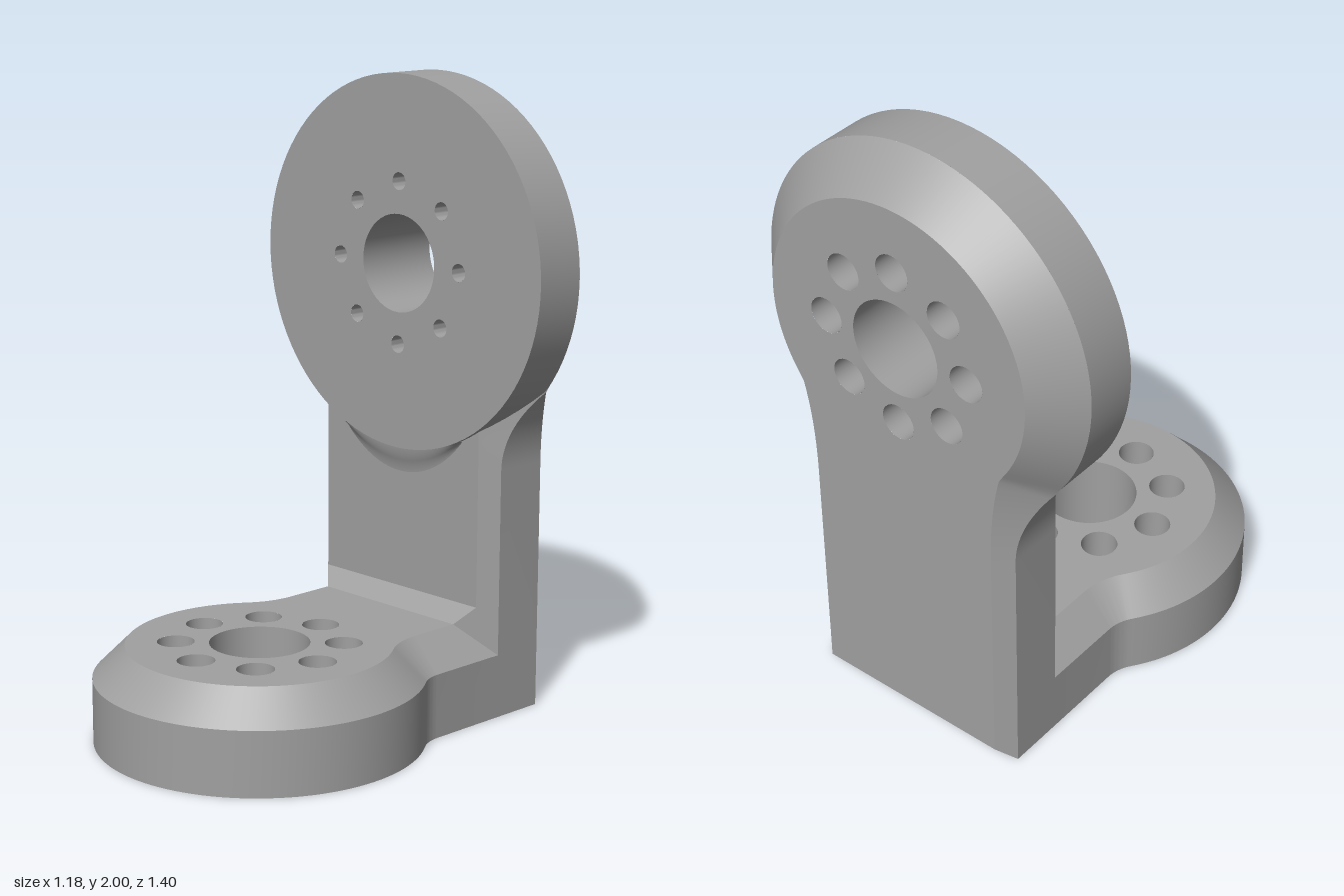
import * as THREE from 'three';
import { toCreasedNormals } from 'three/addons/utils/BufferGeometryUtils.js';

const grey = new THREE.MeshStandardMaterial({ color: 0xa0a0a0 });
const greyDouble = new THREE.MeshStandardMaterial({ color: 0xa0a0a0, side: THREE.DoubleSide });

const BORE = 0.155, RING = 0.257, BOLT = 0.028, HEAD = 0.058;

// Keyhole outline around a disc centre, neck pointing to -y, joined by concave fillets.
// Each point carries its inset, which runs from insetNeck to insetDisc along the fillet.
function keyhole({ R, w, r, dy, end }, insetNeck, insetDisc, endInset = 0) {
  const half = [[w - insetNeck, end + endInset, insetNeck]];
  const stop = Math.PI - Math.atan2(dy, w + r);
  for (let i = 0; i <= 14; i++) {
    const t = i / 14, a = Math.PI + (stop - Math.PI) * t;
    const inset = insetNeck + (insetDisc - insetNeck) * t * t;
    half.push([w + r + (r + inset) * Math.cos(a), -dy + (r + inset) * Math.sin(a), inset]);
  }
  const a0 = -Math.atan2(dy, w + r);
  for (let i = 1; i <= 40; i++) {
    const a = a0 + (Math.PI / 2 - a0) * i / 40;
    half.push([(R - insetDisc) * Math.cos(a), (R - insetDisc) * Math.sin(a), insetDisc]);
  }
  const mirrored = half.slice(0, -1).reverse().map(([x, y, d]) => [-x, y, d]);
  return [...half, ...mirrored];
}

// Wall between two closed outlines; heights may vary per point, empty quads are skipped.
function band(lower, lowerH, upper, upperH) {
  const pos = [];
  const p = (o, h, i) => new THREE.Vector3(o[i][0], o[i][1], h(o[i]));
  for (let i = 0; i < lower.length; i++) {
    const j = (i + 1) % lower.length;
    const a = p(lower, lowerH, i), b = p(lower, lowerH, j);
    const c = p(upper, upperH, j), d = p(upper, upperH, i);
    if (b.distanceTo(c) > 1e-6) pos.push(...a, ...b, ...c);
    if (a.distanceTo(d) > 1e-6) pos.push(...a, ...c, ...d);
  }
  const g = new THREE.BufferGeometry();
  g.setAttribute('position', new THREE.Float32BufferAttribute(pos, 3));
  return toCreasedNormals(g, 0.5);
}

// Flat face with optional bore and bolt holes, facing +z or -z.
function cap(outline, h, up, boltRadius) {
  const shape = new THREE.Shape(outline.map(([x, y]) => new THREE.Vector2(x, y)));
  const hole = (x, y, r) => shape.holes.push(new THREE.Path().absarc(x, y, r, 0, Math.PI * 2, true));
  if (boltRadius) {
    hole(0, 0, BORE);
    for (let i = 0; i < 8; i++) {
      const a = i * Math.PI / 4;
      hole(RING * Math.cos(a), RING * Math.sin(a), boltRadius);
    }
  }
  const g = new THREE.ShapeGeometry(shape, 24);
  if (!up) {
    const index = g.index.array;
    for (let i = 0; i < index.length; i += 3) [index[i], index[i + 1]] = [index[i + 1], index[i]];
    g.computeVertexNormals();
  }
  return g.translate(0, 0, h);
}

// Turned surface about the local z axis.
function turned(points, segments = 32, start = 0, length = Math.PI * 2) {
  const profile = points.map(([r, h]) => new THREE.Vector2(r, h));
  return new THREE.LatheGeometry(profile, segments, start, length).rotateX(Math.PI / 2);
}

function add(group, name, geometry, material = grey) {
  const mesh = new THREE.Mesh(geometry, material);
  mesh.name = name;
  group.add(mesh);
  return mesh;
}

// Central bore and eight counterbored bolt holes.
function addHoles(group, low, seat, high) {
  add(group, 'centreBore', turned([[BORE, low], [BORE, high]], 48), greyDouble);
  const bolt = toCreasedNormals(turned([[BOLT, low], [BOLT, seat], [HEAD, seat], [HEAD, high]]), 0.5);
  for (let i = 0; i < 8; i++) {
    const a = i * Math.PI / 4;
    add(group, 'boltHole', bolt, greyDouble).position.set(RING * Math.cos(a), RING * Math.sin(a), 0);
  }
}

// Horizontal flange, built with its thickness along local z.
function makeBase() {
  const base = new THREE.Group();
  base.name = 'baseFlange';
  const spec = { R: 0.512, w: 0.383, r: 0.14, dy: 0.39, end: -0.66 };
  const outer = keyhole(spec, 0, 0), inner = keyhole(spec, 0.1, 0.1);
  add(base, 'baseWall', band(outer, () => 0, outer, () => 0.205));
  add(base, 'baseChamfer', band(outer, () => 0.205, inner, () => 0.305));
  add(base, 'baseTop', cap(inner, 0.305, true, HEAD));
  add(base, 'baseUnderside', cap(outer, 0, false, BOLT));
  addHoles(base, 0, 0.12, 0.305);
  // lay flat with the neck to the back
  base.rotation.set(-Math.PI / 2, 0, Math.PI);
  base.position.z = 0.19;
  return base;
}

// Shallow blend from the arm up to the disc face, fading out at both ends.
function makeRamp() {
  const span = 0.46;
  const g = turned([[0.588, 0.40], [0.61, 0.403], [0.63, 0.41], [0.65, 0.417], [0.67, 0.42]], 24, -span, 2 * span);
  const pos = g.attributes.position;
  for (let i = 0; i < pos.count; i++) {
    const x = pos.getX(i), y = pos.getY(i), r = Math.hypot(x, y);
    const fade = Math.cos(Math.atan2(x, -y) / span * 1.5);
    const k = (0.588 + (r - 0.588) * fade) / r;
    pos.setXY(i, x * k, y * k);
  }
  g.computeVertexNormals();
  return g;
}

// Upright arm with the large mounting disc, local z running to the back.
function makeUpright() {
  const upright = new THREE.Group();
  upright.name = 'upright';
  const spec = { R: 0.59, w: 0.383, r: 0.4, dy: 0.61, end: -1.41 };
  const BACK = 0.702, FRONT = 0.42, RIM = 0.575;
  const outer = keyhole(spec, 0, 0);
  const front = keyhole(spec, 0.05, RIM - FRONT);
  const back = keyhole(spec, 0.05, BACK - RIM, 0.05);
  const frontEdge = outer.map(([x, y], i) => [x, y, front[i][2]]);
  const backEdge = outer.map(([x, y], i) => [x, y, back[i][2]]);
  const frontH = p => FRONT + p[2], backH = p => BACK - p[2];

  add(upright, 'armFrontChamfer', band(front, () => FRONT, frontEdge, frontH));
  add(upright, 'armSides', band(frontEdge, frontH, backEdge, backH));
  add(upright, 'backChamfer', band(backEdge, backH, back, () => BACK));
  add(upright, 'backFace', cap(back, BACK, true, HEAD));
  add(upright, 'armFront', cap(front.filter(p => p[1] < -0.36), FRONT, false));

  // disc rim and front face
  const circle = [];
  for (let i = 0; i < 96; i++) {
    const a = i * Math.PI / 48;
    circle.push([0.59 * Math.cos(a), 0.59 * Math.sin(a)]);
  }
  add(upright, 'discRim', band(circle, () => 0.40, circle, () => RIM));
  add(upright, 'discFace', cap(circle, 0.40, false, BOLT));
  add(upright, 'discRamp', makeRamp(), greyDouble);
  addHoles(upright, 0.40, 0.53, BACK);

  upright.rotation.y = Math.PI;
  upright.position.y = 1.41;
  return upright;
}

// Sloped strip in the inner corner, with its mitred ends.
function makeCornerStrip() {
  const L = [-0.283, 0.305, -0.37], R = [0.283, 0.305, -0.37];
  const TL = [-0.333, 0.36, -0.42], TR = [0.333, 0.36, -0.42];
  const EL = [-0.383, 0.205, -0.47], ER = [0.383, 0.205, -0.47];
  const g = new THREE.BufferGeometry();
  g.setAttribute('position', new THREE.Float32BufferAttribute(
    [L, R, TR, L, TR, TL, R, ER, TR, L, TL, EL].flat(), 3));
  g.computeVertexNormals();
  return g;
}

export function createModel() {
  const model = new THREE.Group();
  model.name = 'angleBracket';
  model.add(makeBase(), makeUpright());
  add(model, 'cornerStrip', makeCornerStrip());
  return model;
}
